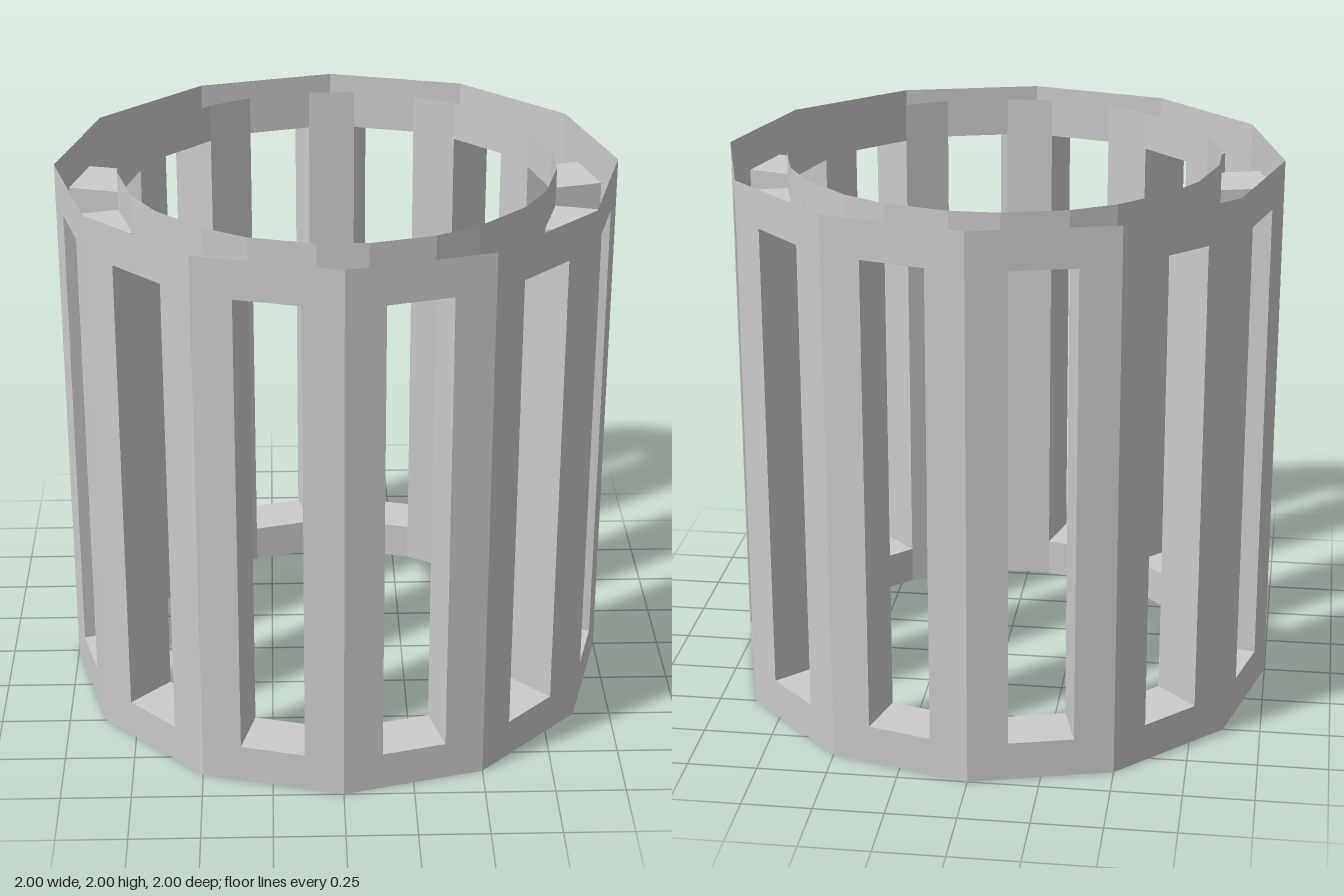
import * as THREE from 'three';

const SIDES = 12;
const STEP = (Math.PI * 2) / SIDES;
const HEIGHT = 2;
const OUT_HALF = Math.sin(STEP / 2);      // half width of an outer facet
const OUT_Z = Math.cos(STEP / 2);         // outer facet distance from the axis
const IN_Z = 0.769;                       // inner window distance from the axis
const WIN = 0.1165;                       // half width of a window
const LOW = 0.14, HIGH = HEIGHT - LOW;    // window sill and lintel heights

const material = new THREE.MeshStandardMaterial({
  color: 0xcccccc, flatShading: true, side: THREE.DoubleSide,
});

function mesh(name, geometry) {
  const m = new THREE.Mesh(geometry, material);
  m.name = name;
  return m;
}

// Flat rectangle with its centre at (x, y, z)
function panel(name, w, h, x, y, z, rx = 0, ry = 0) {
  const m = mesh(name, new THREE.PlaneGeometry(w, h));
  m.position.set(x, y, z);
  m.rotation.set(rx, ry, 0);
  return m;
}

function rectangle(target, x, y0, y1) {
  target.moveTo(-x, y0);
  target.lineTo(x, y0);
  target.lineTo(x, y1);
  target.lineTo(-x, y1);
  target.closePath();
  return target;
}

function createBay() {
  const bay = new THREE.Group();
  bay.name = 'bay';

  // Outer wall facet with a tall window
  const face = rectangle(new THREE.Shape(), OUT_HALF, 0, HEIGHT);
  face.holes.push(rectangle(new THREE.Path(), WIN, LOW, HIGH));
  const outer = mesh('outerWall', new THREE.ShapeGeometry(face));
  outer.position.z = OUT_Z;
  bay.add(outer);

  // Inner wall strips below and above the window
  for (const y of [LOW / 2, HEIGHT - LOW / 2]) {
    bay.add(panel('innerRimStrip', WIN * 2, LOW, 0, y, IN_Z, 0, Math.PI));
  }

  // Window lining between the two walls
  const depth = OUT_Z - IN_Z, midZ = (OUT_Z + IN_Z) / 2;
  bay.add(panel('windowSill', WIN * 2, depth, 0, LOW, midZ, -Math.PI / 2));
  bay.add(panel('windowLintel', WIN * 2, depth, 0, HIGH, midZ, Math.PI / 2));
  for (const s of [-1, 1]) {
    bay.add(panel('windowJamb', depth, HIGH - LOW, s * WIN, HEIGHT / 2, midZ, 0, -s * Math.PI / 2));
  }

  // Full-height inner pillar face joining this window to the next one
  const radius = Math.hypot(WIN, IN_Z);
  const half = STEP / 2 - Math.atan2(WIN, IN_Z);
  const pillar = new THREE.Group();
  pillar.name = 'innerPillar';
  pillar.add(panel('innerPillarFace', 2 * radius * Math.sin(half), HEIGHT,
    0, HEIGHT / 2, radius * Math.cos(half), 0, Math.PI));
  pillar.rotation.y = STEP / 2;
  bay.add(pillar);
  return bay;
}

export function createModel() {
  const model = new THREE.Group();
  model.name = 'windowedDrum';
  for (let i = 0; i < SIDES; i++) {
    const bay = createBay();
    bay.rotation.y = (i + 0.5) * STEP;
    model.add(bay);
  }
  return model;
}
